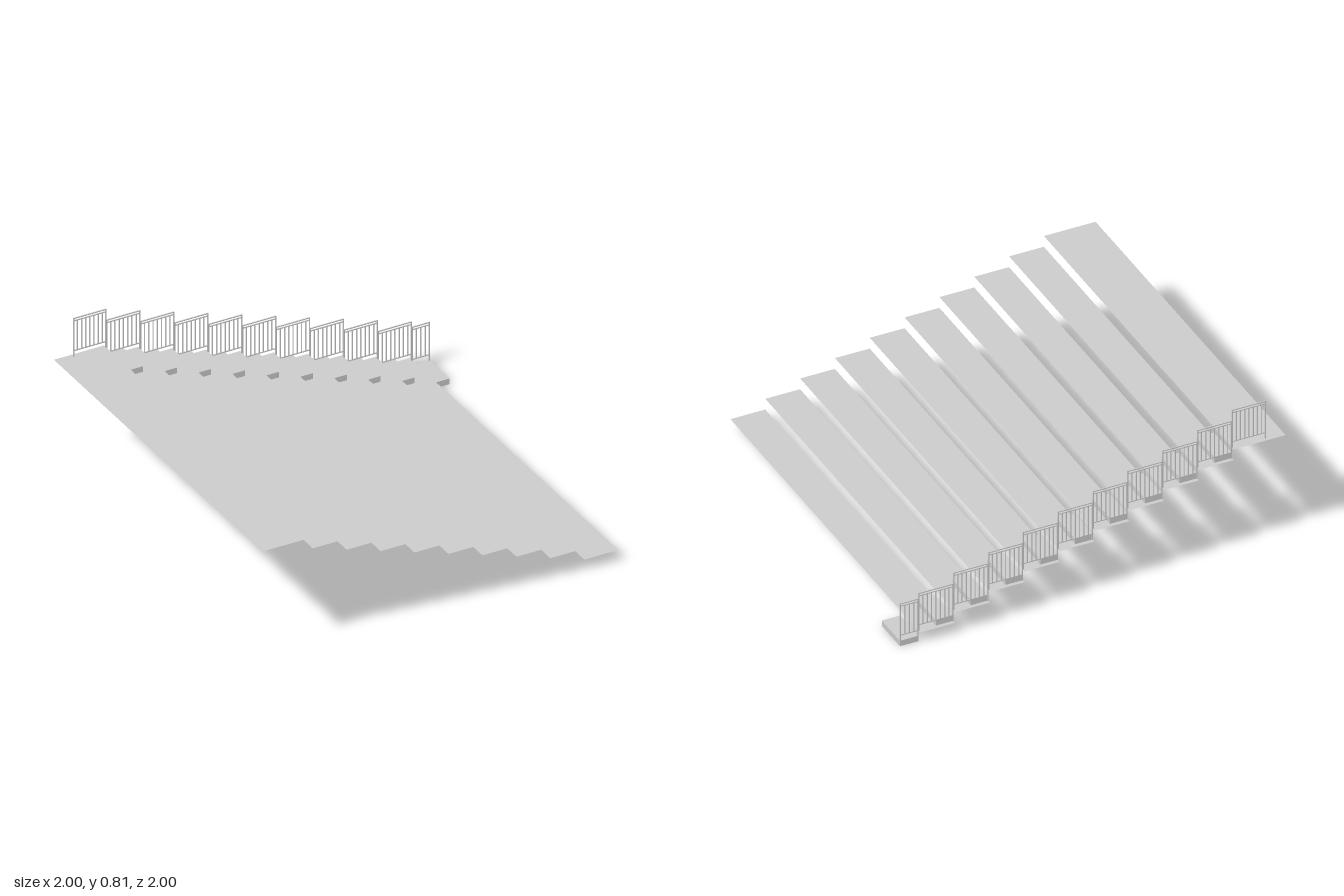
import * as THREE from 'three';

const material = new THREE.MeshStandardMaterial({ color: 0xcccccc, flatShading: true });
const sheet = new THREE.MeshStandardMaterial({ color: 0xcccccc, side: THREE.DoubleSide });

const RUN = 0.1815, RISE = 0.0605, START = -0.73, TOP = 0.605;
const RAIL_Z = -0.98, ROD = 0.005;

// Box given by its minimum and maximum corners
function box(name, [x0, y0, z0], [x1, y1, z1]) {
  const geometry = new THREE.BoxGeometry(x1 - x0, y1 - y0, z1 - z0);
  const mesh = new THREE.Mesh(geometry, material);
  mesh.position.set((x0 + x1) / 2, (y0 + y1) / 2, (z0 + z1) / 2);
  mesh.name = name;
  return mesh;
}

// Paper-thin terrace spanning the full depth
function tread(x0, x1, y) {
  const mesh = new THREE.Mesh(new THREE.PlaneGeometry(x1 - x0, 2).rotateX(-Math.PI / 2), sheet);
  mesh.position.set((x0 + x1) / 2, y, 0);
  mesh.name = 'tread';
  return mesh;
}

// Railing panel: end posts, three thin rails and evenly spaced balusters
function railing(x0, x1, y) {
  const panel = new THREE.Group();
  panel.name = 'railingPanel';
  const rod = (name, ax, ay, bx, by) =>
    panel.add(box(name, [ax, ay, RAIL_Z - ROD / 2], [bx, by, RAIL_Z + ROD / 2]));

  rod('post', x0, y, x0 + ROD, y + 0.21);
  rod('post', x1 - ROD, y, x1, y + 0.21);
  for (const h of [0.03, 0.192, 0.205]) rod('rail', x0, y + h, x1, y + h + ROD);

  const gaps = Math.round((x1 - x0) / 0.0225);
  for (let i = 1; i < gaps; i++) {
    const x = x0 + ((x1 - x0) * i) / gaps;
    rod('baluster', x - ROD / 2, y + 0.03, x + ROD / 2, y + 0.195);
  }
  return panel;
}

export function createModel() {
  const model = new THREE.Group();
  model.name = 'terracedStairs';

  // Upper landing with its railing
  model.add(tread(-1, START, TOP));
  model.add(railing(START - RUN + 0.005, START, TOP));

  for (let i = 0; i < 10; i++) {
    const x = START + i * RUN;
    const y = TOP - (i + 1) * RISE;
    const last = i === 9;

    // Half-height step block at the back of every level
    model.add(box('halfStep', [x, y, -0.98], [last ? 1 : x + RUN / 2, y + RISE / 2, -0.79]));

    // The bottom level has only the block and a short railing on it
    if (!last) model.add(tread(x, x + RUN, y));
    model.add(railing(x, last ? 1 : x + RUN, last ? y + RISE / 2 : y));
  }
  return model;
}
